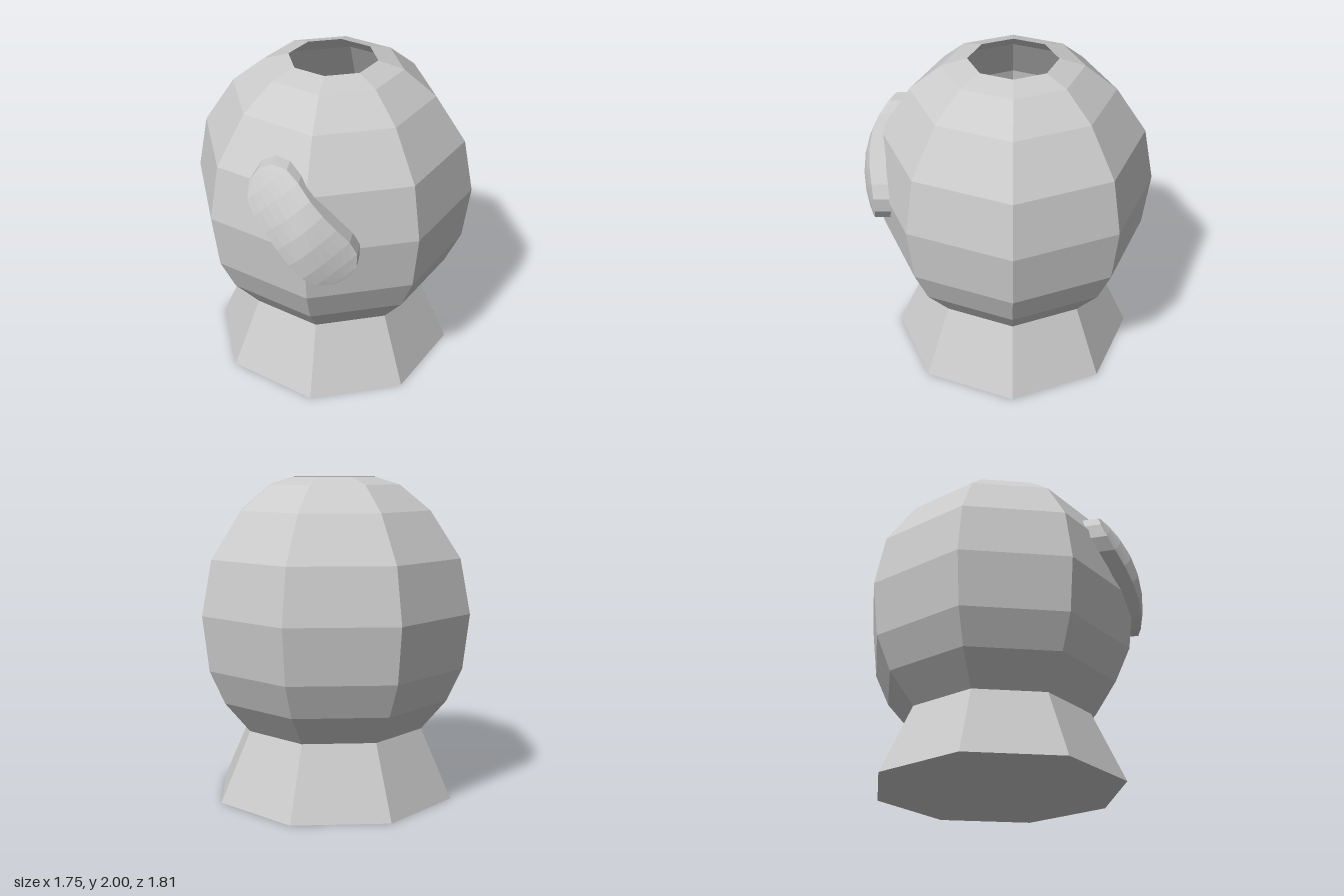
import * as THREE from 'three';

const material = new THREE.MeshStandardMaterial({ color: 0xcccccc, flatShading: true, side: THREE.DoubleSide });
const CENTER_Z = -0.025;

// Eight-sided turned shell with corners on the x and z axes
function octagonShell(name, profile) {
  const points = profile.map(([r, y]) => new THREE.Vector2(r, y));
  const mesh = new THREE.Mesh(new THREE.LatheGeometry(points, 8), material);
  mesh.name = name;
  mesh.position.z = CENTER_Z;
  return mesh;
}

// Rounded-end strap lying diagonally over the front ridge of the head
function createStrap() {
  const radius = 0.175, halfStraight = 0.22, thickness = 0.1, rows = 10;
  const centre = new THREE.Vector2(-0.022, 1.328);
  const along = new THREE.Vector2(-0.67, 0.742);

  // Position along the strap and half width for each row
  const station = (row) => {
    const k = row - rows / 2, a = Math.abs(k);
    if (a <= 2) return [(k / 2) * halfStraight, radius];
    const angle = (a - 2) * Math.PI / 6;
    return [Math.sign(k) * (halfStraight + radius * Math.sin(angle)), Math.max(radius * Math.cos(angle), 0.004)];
  };

  // Outer face follows the head, softened where it crosses the ridge
  const outerZ = (x, y) => {
    const r = 0.875 * Math.sqrt(1 - ((y - 1.18) / 0.86) ** 2);
    return CENTER_Z + r + thickness - 0.414 * Math.hypot(x, 0.1);
  };

  const geometry = new THREE.BoxGeometry(2, rows, 1, 6, rows, 1);
  const pos = geometry.attributes.position;
  for (let i = 0; i < pos.count; i++) {
    const [s, halfWidth] = station(Math.round(pos.getY(i) + rows / 2));
    const w = pos.getX(i) * halfWidth;
    const x = centre.x + along.x * s + along.y * w;
    const y = centre.y + along.y * s - along.x * w;
    pos.setXYZ(i, x, y, outerZ(x, y) + (pos.getZ(i) - 0.5) * thickness);
  }
  geometry.computeVertexNormals();
  const mesh = new THREE.Mesh(geometry, material);
  mesh.name = 'frontStrap';
  return mesh;
}

export function createModel() {
  const group = new THREE.Group();
  group.name = 'model';

  // Flared pedestal with a closed underside
  group.add(octagonShell('pedestal', [[0, 0], [0.777, 0], [0.58, 0.437]]));

  // Hollow faceted head, open at the top
  group.add(octagonShell('head', [
    [0.58, 0.437], [0.74, 0.63], [0.835, 0.84], [0.875, 1.18], [0.81, 1.515],
    [0.62, 1.8], [0.425, 1.955], [0.27, 2],
  ]));

  group.add(createStrap());
  return group;
}
